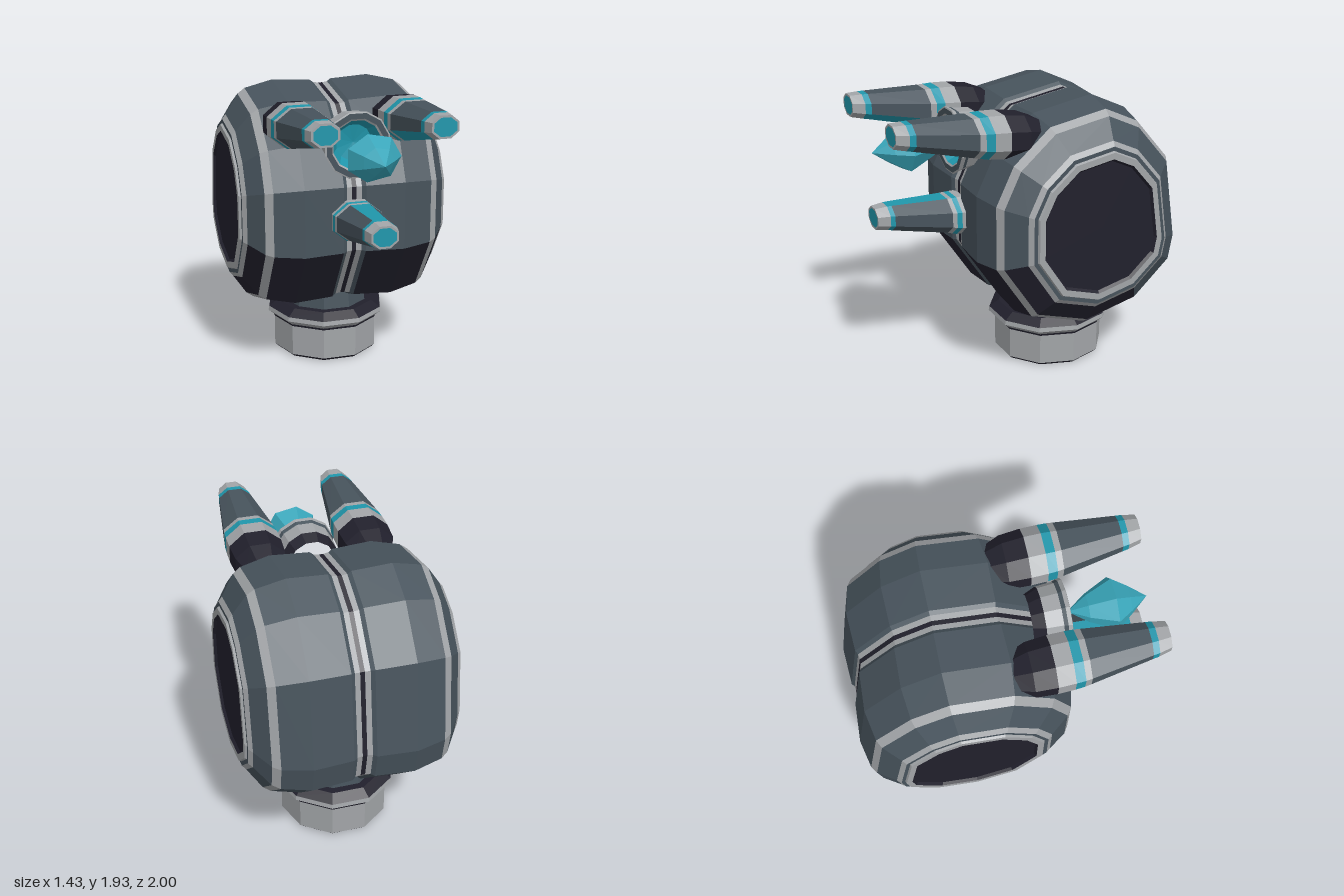
import * as THREE from 'three';

const mat = (name, color) => Object.assign(new THREE.MeshStandardMaterial({ color }), { name });

// Facetted skin through rings of points; pick(band, facet) gives the material of each face.
// Rings run counter-clockwise seen from the end they advance towards.
function loft(name, rings, pick) {
  const buckets = new Map();
  const addTri = (list, a, b, c) => {
    const area = new THREE.Vector3().crossVectors(b.clone().sub(a), c.clone().sub(a)).length();
    if (area > 1e-8) for (const p of [a, b, c]) list.push(p.x, p.y, p.z);
  };
  for (let i = 0; i < rings.length - 1; i++) {
    const n = rings[i].length;
    for (let j = 0; j < n; j++) {
      const m = pick(i, j), k = (j + 1) % n;
      if (!buckets.has(m)) buckets.set(m, []);
      const list = buckets.get(m);
      addTri(list, rings[i][j], rings[i][k], rings[i + 1][k]);
      addTri(list, rings[i][j], rings[i + 1][k], rings[i + 1][j]);
    }
  }
  const geo = new THREE.BufferGeometry(), all = [], mats = [];
  for (const [m, list] of buckets) {
    geo.addGroup(all.length / 3, list.length / 3, mats.length);
    for (const v of list) all.push(v);
    mats.push(m);
  }
  geo.setAttribute('position', new THREE.Float32BufferAttribute(all, 3));
  geo.computeVertexNormals();
  const mesh = new THREE.Mesh(geo, mats);
  mesh.name = name;
  return mesh;
}

// Regular ring facing +z
const ringZ = (n, x, y, z, rx, ry, turn = Math.PI / n) =>
  Array.from({ length: n }, (_, i) => {
    const a = turn + (i / n) * Math.PI * 2;
    return new THREE.Vector3(x + Math.cos(a) * rx, y + Math.sin(a) * ry, z);
  });

// Regular ring facing +y
const ringY = (n, y, z, r) =>
  Array.from({ length: n }, (_, i) => {
    const a = ((i + 0.5) / n) * Math.PI * 2;
    return new THREE.Vector3(Math.sin(a) * r, y, z + Math.cos(a) * r * 1.03);
  });

export function createModel() {
  const shell = mat('slate shell', 0x47535c);
  const dark = mat('dark panel', 0x21202c);
  const light = mat('light metal', 0xa2a5a8);
  const teal = mat('teal glow', 0x2097ac);
  const gemMat = mat('crystal', 0x38a5b9);

  const model = new THREE.Group();
  model.name = 'drumTurret';

  // Drum body: side outline (z, y) scaled along x
  const outline = [
    [0.43, 0.91], [0.16, 0.5], [-0.26, 0.365], [-0.675, 0.46], [-0.965, 0.72], [-1, 0.91],
    [-0.905, 1.515], [-0.65, 1.81], [-0.395, 1.93], [0.03, 1.86], [0.3, 1.63], [0.43, 1.365],
  ];
  const cz = -0.29, cy = 1.15;
  // x, scale, material of the band outwards from here
  const stations = [
    [0.015, 0.95, light], [0.05, 0.957, shell], [0.075, 0.98, shell], [0.34, 1, shell],
    [0.535, 0.94, light], [0.585, 0.895, shell], [0.675, 0.725, light], [0.7, 0.685, shell],
    [0.7, 0.65, light], [0.715, 0.64, light], [0.715, 0.585, dark], [0.697, 0.565, dark], [0.697, 0, dark],
  ];
  const section = (x, s) =>
    outline.map(([z, y]) => new THREE.Vector3(x, cy + (y - cy) * s, cz + (z - cz) * s));
  const half = stations.length;
  const bodyRings = [
    ...stations.slice().reverse().map(([x, s]) => section(-x, s)),
    ...stations.map(([x, s]) => section(x, s)),
  ];
  model.add(loft('body', bodyRings, (band, facet) => {
    if (band === half - 1) return dark; // seam
    const s = band < half ? half - 2 - band : band - half;
    const m = stations[s][2];
    return m === shell && s >= 2 && s < 7 && facet < 3 ? dark : m; // dark underside
  }));

  // Neck and pedestal
  const base = [
    [0, 0, dark], [0, 0.355, dark], [0.02, 0.375, light], [0.235, 0.375, dark], [0.25, 0.38, light],
    [0.285, 0.42, light], [0.315, 0.415, dark], [0.36, 0.35, dark], [0.36, 0.3, shell], [0.62, 0.27, shell],
  ];
  model.add(loft('pedestal', base.map(([y, r]) => ringY(10, y, cz, r)), (b) => base[b][2]));

  // Prongs: rings of [z, y, rx, ry, material forwards from here]; one facet glows towards the crystal
  const prong = (name, x, rows, glowFacet) => {
    const k = 1 / Math.cos(Math.PI / 8);
    const rings = rows.map(([z, y, rx, ry]) => ringZ(8, x, y, z, rx * k, ry * k));
    return loft(name, rings, (b, f) => (rows[b][4] === shell && f === glowFacet ? teal : rows[b][4]));
  };
  const upper = [
    [0.03, 1.74, 0, 0, dark], [0.03, 1.74, 0.125, 0.1, dark], [0.14, 1.75, 0.165, 0.135, dark],
    [0.28, 1.765, 0.174, 0.142, light], [0.39, 1.775, 0.173, 0.138, teal], [0.45, 1.782, 0.17, 0.13, light],
    [0.49, 1.787, 0.165, 0.125, shell], [0.88, 1.842, 0.11, 0.085, teal], [0.92, 1.847, 0.105, 0.081, light],
    [1, 1.857, 0.087, 0.071, light], [1, 1.857, 0.074, 0.058, teal], [1, 1.857, 0, 0, teal],
  ];
  const lower = [
    [0.36, 1.135, 0.16, 0.135, light], [0.445, 1.14, 0.16, 0.13, teal], [0.48, 1.145, 0.158, 0.125, light],
    [0.51, 1.15, 0.154, 0.12, shell], [0.89, 1.198, 0.108, 0.085, teal], [0.92, 1.202, 0.104, 0.081, light],
    [1, 1.205, 0.087, 0.071, light], [1, 1.205, 0.074, 0.058, teal], [1, 1.205, 0, 0, teal],
  ];
  // facets: 0 = upper right corner, then counter-clockwise
  model.add(prong('upperLeftProng', 0.37, upper, 4));
  model.add(prong('upperRightProng', -0.37, upper, 6));
  model.add(prong('lowerProng', 0, lower, 1));

  // Socket ring behind the crystal
  const socket = [
    [0.22, 0.16, dark], [0.3, 0.195, light], [0.41, 0.205, shell], [0.435, 0.215, light], [0.46, 0.222, light],
    [0.463, 0.212, shell], [0.463, 0.175, light], [0.455, 0.163, teal], [0.38, 0.12, teal], [0.36, 0, teal],
  ];
  model.add(loft('socket', socket.map(([z, r]) => ringZ(12, 0, 1.645, z, r, r)), (b) => socket[b][2]));

  // Floating crystal
  const gem = [[0.47, 0], [0.6, 0.095], [0.77, 0.18], [0.87, 0.105], [0.99, 0]];
  model.add(loft('crystal', gem.map(([z, r]) => ringZ(7, 0, 1.64, z, r, r * 0.86, 0)), () => gemMat));

  return model;
}
